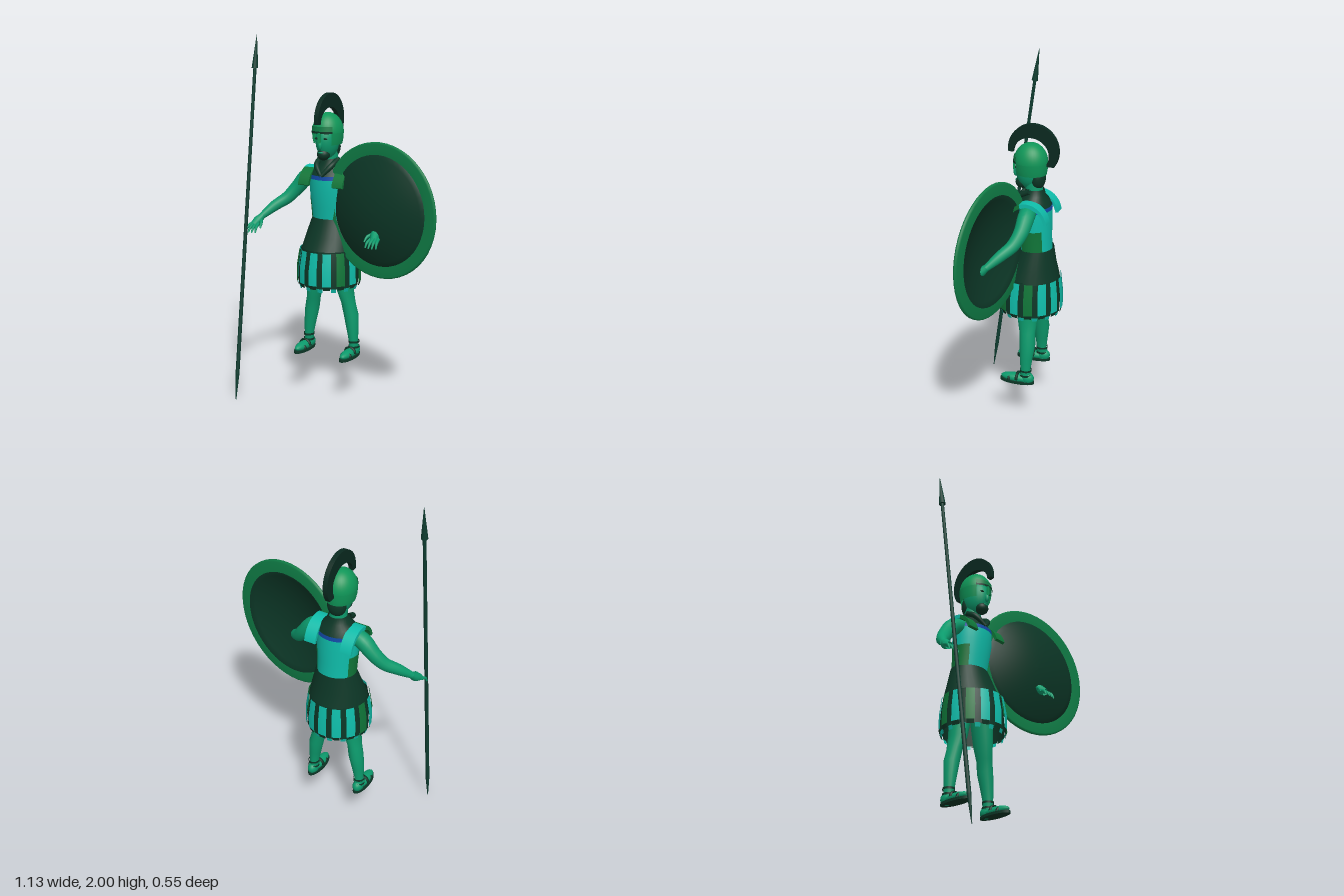
import * as THREE from 'three';
import { mergeVertices } from 'three/addons/utils/BufferGeometryUtils.js';

const TAU = Math.PI * 2, DEG = Math.PI / 180;
const paint = (name, color) => {
  const m = new THREE.MeshStandardMaterial({ color, side: THREE.DoubleSide });
  m.name = name;
  return m;
};

// Stack of ellipses; each row is [x, y, z, rx, rz], angles run from the front
function loft(rows, from = 0, sweep = TAU, n = 28) {
  const pos = [], idx = [];
  for (const [x, y, z, rx, rz] of rows)
    for (let i = 0; i <= n; i++) {
      const a = from + sweep * i / n;
      pos.push(x + rx * Math.sin(a), y, z + rz * Math.cos(a));
    }
  for (let j = 0; j < rows.length - 1; j++)
    for (let i = 0; i < n; i++) {
      const a = j * (n + 1) + i, d = a + n + 1;
      idx.push(a, a + 1, d + 1, a, d + 1, d);
    }
  let g = new THREE.BufferGeometry();
  g.setAttribute('position', new THREE.Float32BufferAttribute(pos, 3));
  g.setIndex(idx);
  g = mergeVertices(g, 1e-5);
  g.computeVertexNormals();
  return g;
}

// Tube through points with a radius at each point
function limb(points, radii, n = 24, sides = 14) {
  const curve = new THREE.CatmullRomCurve3(points.map(p => new THREE.Vector3(...p)));
  const g = new THREE.TubeGeometry(curve, n, 1, sides), p = g.attributes.position, v = new THREE.Vector3();
  for (let i = 0; i <= n; i++) {
    const c = curve.getPointAt(i / n), t = i / n * (radii.length - 1), k = Math.min(Math.floor(t), radii.length - 2);
    const r = THREE.MathUtils.lerp(radii[k], radii[k + 1], t - k);
    for (let j = 0; j <= sides; j++) {
      const q = i * (sides + 1) + j;
      v.fromBufferAttribute(p, q).sub(c).multiplyScalar(r).add(c);
      p.setXYZ(q, v.x, v.y, v.z);
    }
  }
  return g;
}

// Flat arched band in the side plane; each arc is [z, y, rz, ry, startDeg, endDeg]
function archBand(outer, inner, width) {
  const s = new THREE.Shape();
  s.absellipse(...outer.slice(0, 4), outer[4] * DEG, outer[5] * DEG, false);
  s.absellipse(...inner.slice(0, 4), inner[5] * DEG, inner[4] * DEG, true);
  const g = new THREE.ExtrudeGeometry(s, { depth: width, bevelEnabled: false, curveSegments: 24 });
  return g.translate(0, 0, -width / 2).rotateY(-Math.PI / 2);
}

export function createModel() {
  const skin = paint('skin green', 0x0c9a6c), teal = paint('teal linen', 0x0fbdaa);
  const dark = paint('dark cloth', 0x0c3626), black = paint('dark crest', 0x0a2a20);
  const bronze = paint('helmet green', 0x0f9658), patch = paint('leaf green', 0x0f7538);
  const blue = paint('blue trim', 0x1148a4), rim = paint('rim green', 0x0f7d46);
  const wood = paint('dark wood', 0x0e3d30);
  const model = new THREE.Group(), body = new THREE.Group();
  body.name = 'warrior';
  body.position.x = -0.155;
  model.add(body);
  const add = (name, geo, mat, parent = body) => {
    const m = new THREE.Mesh(geo, mat);
    m.name = name;
    parent.add(m);
    return m;
  };
  const ball = (name, mat, x, y, z, rx, ry, rz) => {
    const m = add(name, new THREE.SphereGeometry(1, 24, 16), mat);
    m.position.set(x, y, z);
    m.scale.set(rx, ry, rz);
    return m;
  };

  // Torso armour with trim, waist patches and collar
  add('cuirass', loft([[0, 1, -.125, .105, .087], [0, 1.08, -.118, .107, .091], [0, 1.17, -.112, .116, .098], [0, 1.235, -.11, .115, .096]]), teal);
  add('chestTrim', loft([[0, 1.233, -.11, .118, .099], [0, 1.255, -.11, .114, .096]]), blue);
  add('upperChest', loft([[0, 1.253, -.11, .113, .094], [0, 1.285, -.112, .096, .078], [0, 1.31, -.115, .062, .058], [0, 1.345, -.115, .05, .05]]), dark);
  for (const s of [-1, 1]) {
    add('waistPatch', loft([[0, 1, -.125, .109, .091], [0, 1.08, -.118, .111, .095], [0, 1.13, -.115, .115, .098]], s * Math.PI / 2 - .55, 1.3, 10), patch);
    const c = [-.11, 1.17];
    add('shoulderStrap', archBand([...c, .115, .128, 70, 170], [...c, .1, .105, 70, 170], .065), teal).position.x = s * .105;
    add('shoulderStrapFront', archBand([...c, .115, .128, 15, 70], [...c, .1, .105, 15, 70], .065), patch).position.x = s * .105;
    add('collarFlap', limb([[s * .055, 1.34, -.1], [s * .045, 1.31, -.045], [0, 1.255, -.012]], [.014, .016, .01]), dark);
  }

  // Skirt and hanging strips
  add('skirt', loft([[0, .84, -.105, .157, .15], [0, .92, -.115, .138, .12], [0, 1.015, -.128, .11, .093]]), dark);
  add('underSkirt', loft([[0, .65, -.097, .162, .162], [0, .85, -.1, .155, .15]]), dark);
  const strips = 28;
  for (let i = 0; i < strips; i++) {
    const w = TAU / strips, side = Math.abs(Math.sin(i * w)) > .75 && i % 4 === 0;
    const r = i % 2 ? .168 : .176, low = i % 2 ? .65 : .665;
    const from = (i - (i % 2 ? .5 : .62)) * w, sweep = w * (i % 2 ? 1 : 1.24);
    add('skirtStrip', loft([[0, low, -.097, r + .003, r + .003], [0, .75, -.097, r + .002, r + .002], [0, .845, -.1, r - .012, r - .012]], from, sweep, 4),
      i % 2 ? dark : side ? patch : teal);
    add('stripFringe', loft([[0, low - .022, -.097, r - .004, r - .004], [0, low, -.097, r + .002, r + .002]], from + .03, sweep - .06, 4), i % 2 ? teal : dark);
  }

  // Arms, hands, legs and sandals, mirrored
  for (const s of [-1, 1]) {
    add('arm', limb([[s * .08, 1.25, -.11], [s * .15, 1.225, -.115], [s * .205, 1.165, -.108], [s * .255, 1.105, -.08], [s * .31, 1.06, -.03], [s * .36, 1.005, .03]],
      [.045, .045, .039, .034, .029, .018]), skin);
    add('palm', limb([[s * .355, 1.01, .025], [s * .368, .985, .055], [s * .376, .965, .085]], [.017, .026, .02], 10), skin);
    for (let f = 0; f < 4; f++) {
      const x = .354 + f * .014;
      add('finger', limb([[s * x, .972, .07], [s * (x + (f - 1.5) * .005), .955, .105], [s * (x + (f - 1.5) * .007), .93, .128 - Math.abs(f - 1.5) * .006]], [.009, .008, .004], 8, 8), skin);
    }
    add('thumb', limb([[s * .352, .99, .045], [s * .332, .978, .075], [s * .325, .955, .095]], [.01, .009, .004], 8, 8), skin);

    const legRows = [[.146, .25, -.125, .025, .03], [.144, .32, -.118, .025, .028], [.137, .39, -.12, .033, .036],
      [.126, .47, -.123, .04, .044], [.112, .54, -.117, .038, .045], [.096, .61, -.112, .044, .056], [.08, .74, -.11, .055, .063]];
    add('leg', loft(legRows.map(([x, ...r]) => [s * x, ...r]), 0, TAU, 20), skin);
    ball('foot', skin, s * .146, .262, -.065, .031, .025, .09);
    ball('heel', skin, s * .146, .268, -.13, .028, .034, .038);
    const sole = new THREE.CylinderGeometry(1, 1, .014, 24);
    sole.scale(.036, 1, .1);
    add('sandalSole', sole, dark).position.set(s * .146, .243, -.07);
    [[.02, .031, .026, -.03], [.03, .033, .032, -.075]].forEach(([h, rx, ry, z]) => {
      const strap = add('sandalStrap', new THREE.TorusGeometry(1, .18, 6, 20, Math.PI), dark);
      strap.scale.set(rx, ry, .05);
      strap.position.set(s * .146, .232 + h, z);
    });
    for (const y of [.288, .318])
      add('ankleStrap', loft([[s * .146, y - .006, -.12, .03, .033], [s * .146, y + .006, -.12, .03, .033]]), dark);
  }

  // Head, hair and face
  add('neck', loft([[0, 1.28, -.115, .048, .048], [0, 1.42, -.105, .043, .045]]), skin);
  ball('head', skin, 0, 1.445, -.085, .06, .104, .078);
  ball('hair', dark, 0, 1.405, -.13, .052, .065, .042);
  ball('beard', dark, 0, 1.372, -.043, .036, .033, .036);
  ball('mouth', skin, 0, 1.384, -.013, .016, .005, .008);
  ball('nose', skin, 0, 1.425, -.006, .011, .024, .013);
  for (const s of [-1, 1]) ball('eye', dark, s * .026, 1.46, -.016, .013, .006, .005);

  // Helmet: dome, neck guard open at the face, brow band, nose guard and crest
  const dome = new THREE.SphereGeometry(1, 32, 16, 0, TAU, 0, Math.PI / 2);
  dome.scale(.084, .105, .092);
  add('helmetDome', dome, bronze).position.set(0, 1.49, -.09);
  add('helmetGuard', loft([[0, 1.425, -.092, .074, .084], [0, 1.455, -.091, .081, .09], [0, 1.49, -.09, .084, .092]], .8, TAU - 1.6), bronze);
  add('browBand', loft([[0, 1.488, -.09, .087, .095], [0, 1.5, -.09, .087, .095]], -.85, 1.7, 14), dark);
  add('browRidge', loft([[0, 1.5, -.09, .086, .094], [0, 1.525, -.09, .083, .091]], -.85, 1.7, 14), rim);
  add('noseGuard', new THREE.BoxGeometry(.014, .055, .009), bronze).position.set(0, 1.465, .002);
  add('crest', archBand([-.105, 1.555, .14, .143, -6, 215], [-.092, 1.53, .1, .092, 4, 218], .026), black);

  // Round shield with a domed face and flat rim
  const shield = new THREE.Group();
  shield.name = 'shield';
  shield.position.set(.205, 1.105, -.003);
  shield.rotation.y = -.176;
  model.add(shield);
  const bowl = [];
  for (let i = 0; i <= 10; i++) bowl.push(new THREE.Vector2(.302 * (1 - i / 10), .07 * (1 - (1 - i / 10) ** 2)));
  const back = bowl.map(p => new THREE.Vector2(p.x, p.y - .012)).reverse();
  add('shieldFace', new THREE.LatheGeometry([...back, ...bowl], 48).rotateX(Math.PI / 2), dark, shield);
  const edge = [[.298, -.014], [.355, -.012], [.364, -.004], [.364, .004], [.355, .011], [.298, .008]].map(p => new THREE.Vector2(...p));
  add('shieldRim', new THREE.LatheGeometry(edge, 48).rotateX(Math.PI / 2), rim, shield);

  // Leaning spear
  const spear = new THREE.Group();
  spear.name = 'spear';
  spear.position.set(-.545, 1, .135);
  spear.rotation.x = -.135;
  model.add(spear);
  const rod = (name, top, bottom, y0, y1) =>
    add(name, new THREE.CylinderGeometry(top, bottom, y1 - y0, 12), wood, spear).position.y = (y0 + y1) / 2;
  rod('spearShaft', .009, .011, -.86, .84);
  rod('spearButt', .011, .002, -1.008, -.86);
  rod('spearHead', .001, .018, .83, 1.008);
  return model;
}
